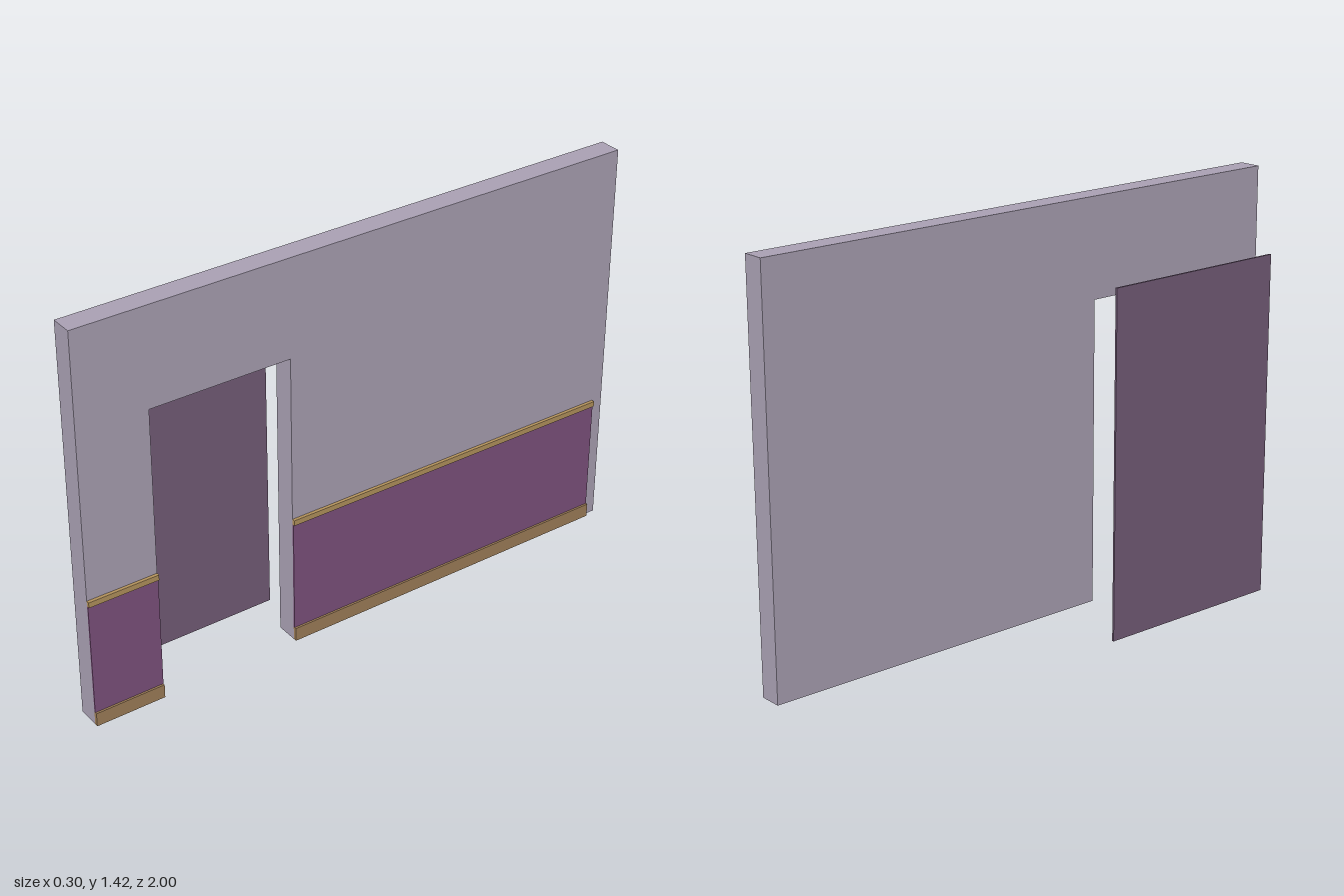
import * as THREE from 'three';

const mat = (name, color) => {
  const m = new THREE.MeshStandardMaterial({ color });
  m.name = name;
  return m;
};

export function createModel() {
  const plaster = mat('pale mauve plaster', 0xa9a0b3);
  const backing = mat('dusky purple', 0x735c77);
  const panel = mat('plum', 0x7c517c);
  const brass = mat('brass', 0xb3925c);
  const wood = mat('tan wood', 0x9e7e58);

  const group = new THREE.Group();
  group.name = 'wallWithDoorway';

  // Box given by its extents on each axis
  const box = (name, material, [x0, x1], [y0, y1], [z0, z1]) => {
    const mesh = new THREE.Mesh(new THREE.BoxGeometry(x1 - x0, y1 - y0, z1 - z0), material);
    mesh.position.set((x0 + x1) / 2, (y0 + y1) / 2, (z0 + z1) / 2);
    mesh.name = name;
    group.add(mesh);
  };

  const bottom = 0.052, top = 1.422, face = 0.136;
  const doorBack = 0.265, doorFront = 0.757;
  const thickness = [0.06, face];

  // Wall sections either side of the doorway, and the header above it
  box('wallLong', plaster, thickness, [bottom, top], [-1, doorBack]);
  box('wallShort', plaster, thickness, [bottom, top], [doorFront, 1]);
  box('doorHeader', plaster, thickness, [1.085, top], [doorBack, doorFront]);

  // Wainscot, rail and skirting on each section
  for (const [side, span] of [['Long', [-0.96, doorBack]], ['Short', [doorFront, 1]]]) {
    box('wainscot' + side, panel, [face, 0.141], [0.1, 0.494], span);
    box('chairRail' + side, brass, [face, 0.147], [0.494, 0.513], span);
    box('skirting' + side, wood, [face, 0.148], [bottom, 0.1], span);
  }

  // Thin backing sheet behind the doorway
  box('backingSheet', backing, [-0.15, -0.143], [0, 1.18], [0.168, 0.852]);

  return group;
}
